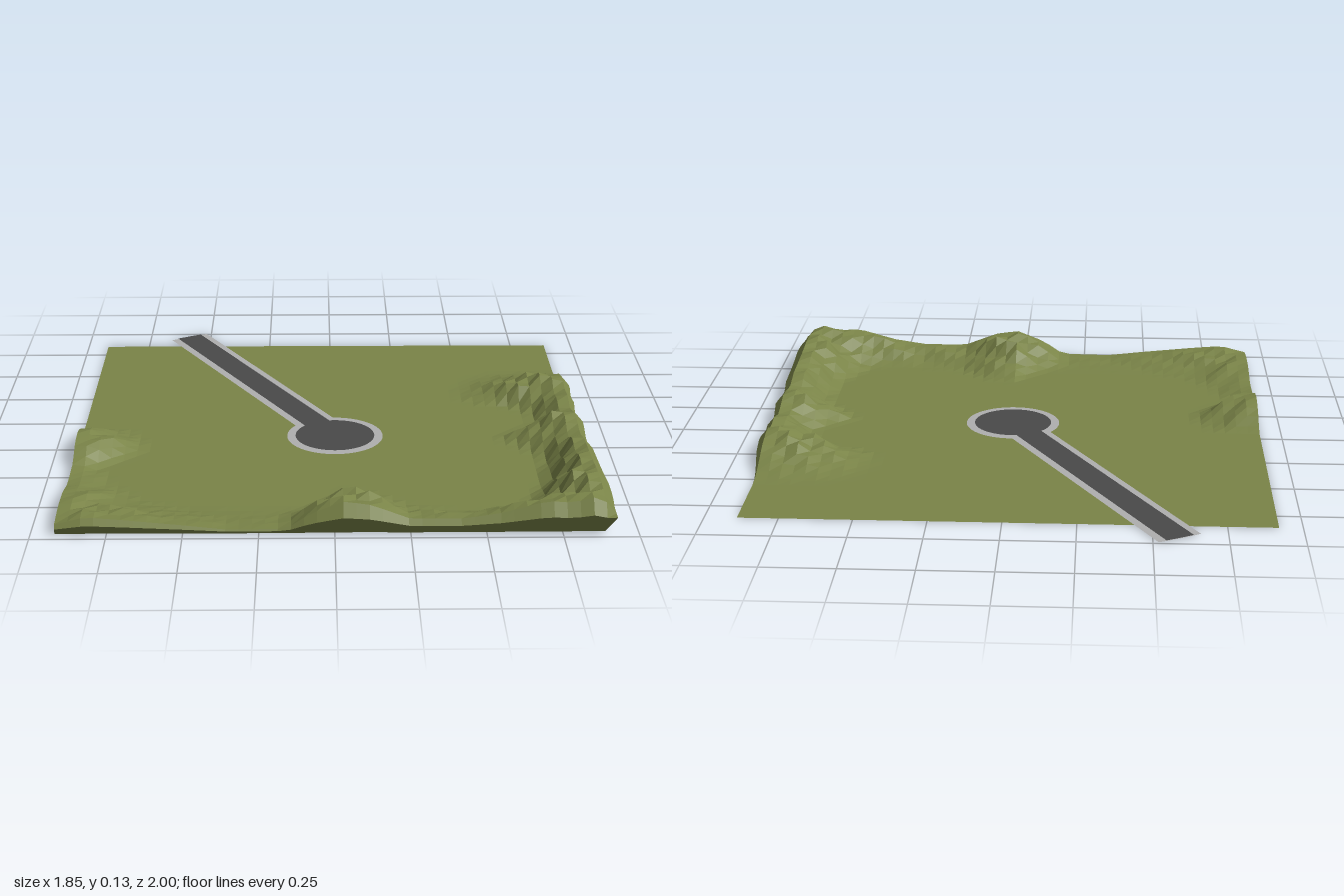
import * as THREE from 'three';

const grass = new THREE.MeshStandardMaterial({ color: 0x7a8448, side: THREE.DoubleSide, flatShading: true });
grass.name = 'grass';
const kerbGrey = new THREE.MeshStandardMaterial({ color: 0xb0b0b0 });
kerbGrey.name = 'kerbGrey';
const asphalt = new THREE.MeshStandardMaterial({ color: 0x4a4a4a, side: THREE.DoubleSide });
asphalt.name = 'asphalt';

// Ground limits
const X0 = -0.92, X1 = 0.89, Z0 = -0.85, Z1 = 0.96;

// Ridge profiles: [position along the edge, height, reach inland]
const frontRidge = [[-0.92, 0.035, 0.25], [-0.82, 0.06, 0.3], [-0.7, 0.05, 0.28], [-0.5, 0.03, 0.2], [-0.35, 0.013, 0.2],
  [-0.16, 0.016, 0.2], [-0.08, 0.07, 0.22], [0.03, 0.113, 0.36], [0.12, 0.1, 0.34], [0.25, 0.05, 0.22], [0.42, 0.05, 0.17],
  [0.55, 0.07, 0.18], [0.7, 0.112, 0.2], [0.78, 0.105, 0.25], [0.86, 0.128, 0.28], [0.9, 0.1, 0.28]];
const leftRidge = [[-0.52, 0, 0.3], [-0.45, 0.02, 0.38], [-0.33, 0.07, 0.42], [-0.22, 0.092, 0.4], [-0.15, 0.07, 0.2],
  [-0.07, 0.082, 0.15], [0.02, 0.06, 0.15], [0.15, 0.098, 0.3], [0.3, 0.075, 0.17], [0.4, 0.1, 0.15], [0.6, 0.11, 0.18],
  [0.75, 0.123, 0.26], [0.85, 0.12, 0.26], [0.96, 0.1, 0.25]];
const rightRidge = [[0.07, 0, 0.2], [0.15, 0.045, 0.22], [0.25, 0.075, 0.27], [0.34, 0.068, 0.2], [0.43, 0.025, 0.1],
  [0.6, 0.018, 0.18], [0.72, 0.045, 0.28], [0.85, 0.05, 0.28], [0.96, 0.035, 0.25]];

// Linear lookup of one column of a profile
function sample(profile, t, column) {
  if (t <= profile[0][0]) return profile[0][column];
  for (let i = 1; i < profile.length; i++) {
    const a = profile[i - 1], b = profile[i];
    if (t <= b[0]) return THREE.MathUtils.lerp(a[column], b[column], (t - a[0]) / (b[0] - a[0]));
  }
  return profile[profile.length - 1][column];
}

// Height of a ridge at a distance from its edge
function ridge(profile, t, distance) {
  const reach = sample(profile, t, 2);
  const fall = 1 - THREE.MathUtils.smoothstep(distance, reach * 0.15, reach);
  const rough = 1 + 0.22 * Math.sin(t * 31 + distance * 45) * Math.min(1, distance * 10);
  return sample(profile, t, 1) * fall * rough;
}

function groundHeight(x, z) {
  return Math.max(0, ridge(frontRidge, x, Z1 - z), ridge(leftRidge, z, X1 - x), ridge(rightRidge, z, x - X0));
}

// Open sheet whose outer rows roll over the edge and drop to the base
function createGround() {
  const cells = 42, roll = 2, columns = cells + roll * 2, rows = cells + roll;
  const geometry = new THREE.PlaneGeometry(1, 1, columns, rows);
  const position = geometry.attributes.position;
  const drop = [1, 0.62, 0.02], bulge = [0, 0.32, 0];
  const clamp = THREE.MathUtils.clamp;
  for (let r = 0; r <= rows; r++) {
    for (let c = 0; c <= columns; c++) {
      const i = clamp(c - roll, 0, cells), j = Math.min(r, cells);
      let x = THREE.MathUtils.lerp(X0, X1, i / cells);
      let z = THREE.MathUtils.lerp(Z0, Z1, j / cells);
      const side = c - roll - i, front = r - j;
      const k = Math.max(Math.abs(side), front);
      const h = groundHeight(x, z);
      if (side > 0) x += bulge[k] * h;
      if (front > 0) z += bulge[k] * h;
      position.setXYZ(r * (columns + 1) + c, x, h * drop[k], z);
    }
  }
  geometry.computeVertexNormals();
  const mesh = new THREE.Mesh(geometry, grass);
  mesh.name = 'ground';
  return mesh;
}

// Round end plus a straight lane with an arched far end, drawn along +y
function laneShape(radius, halfWidth, length) {
  const shape = new THREE.Shape();
  const join = Math.asin(halfWidth / radius), end = Math.asin(halfWidth / length);
  shape.absarc(0, 0, radius, Math.PI / 2 + join, Math.PI * 2.5 - join, false);
  shape.absarc(0, 0, length, Math.PI / 2 - end, Math.PI / 2 + end, false);
  shape.closePath();
  return shape;
}

function createRoad() {
  const road = new THREE.Group();
  road.name = 'road';
  const addLayer = (name, material, y, radius, halfWidth) => {
    const geometry = new THREE.ShapeGeometry(laneShape(radius, halfWidth, 1.245), 32);
    geometry.rotateX(-Math.PI / 2);
    const mesh = new THREE.Mesh(geometry, material);
    mesh.name = name;
    mesh.position.y = y;
    road.add(mesh);
  };
  addLayer('kerb', kerbGrey, 0.003, 0.176, 0.08);
  addLayer('roadSurface', asphalt, 0.005, 0.145, 0.052);
  road.position.set(0.01, 0, 0.13);
  road.rotation.y = Math.atan2(0.6, 1.09);
  return road;
}

export function createModel() {
  const model = new THREE.Group();
  model.name = 'terrainWithRoad';
  model.add(createGround(), createRoad());
  return model;
}
